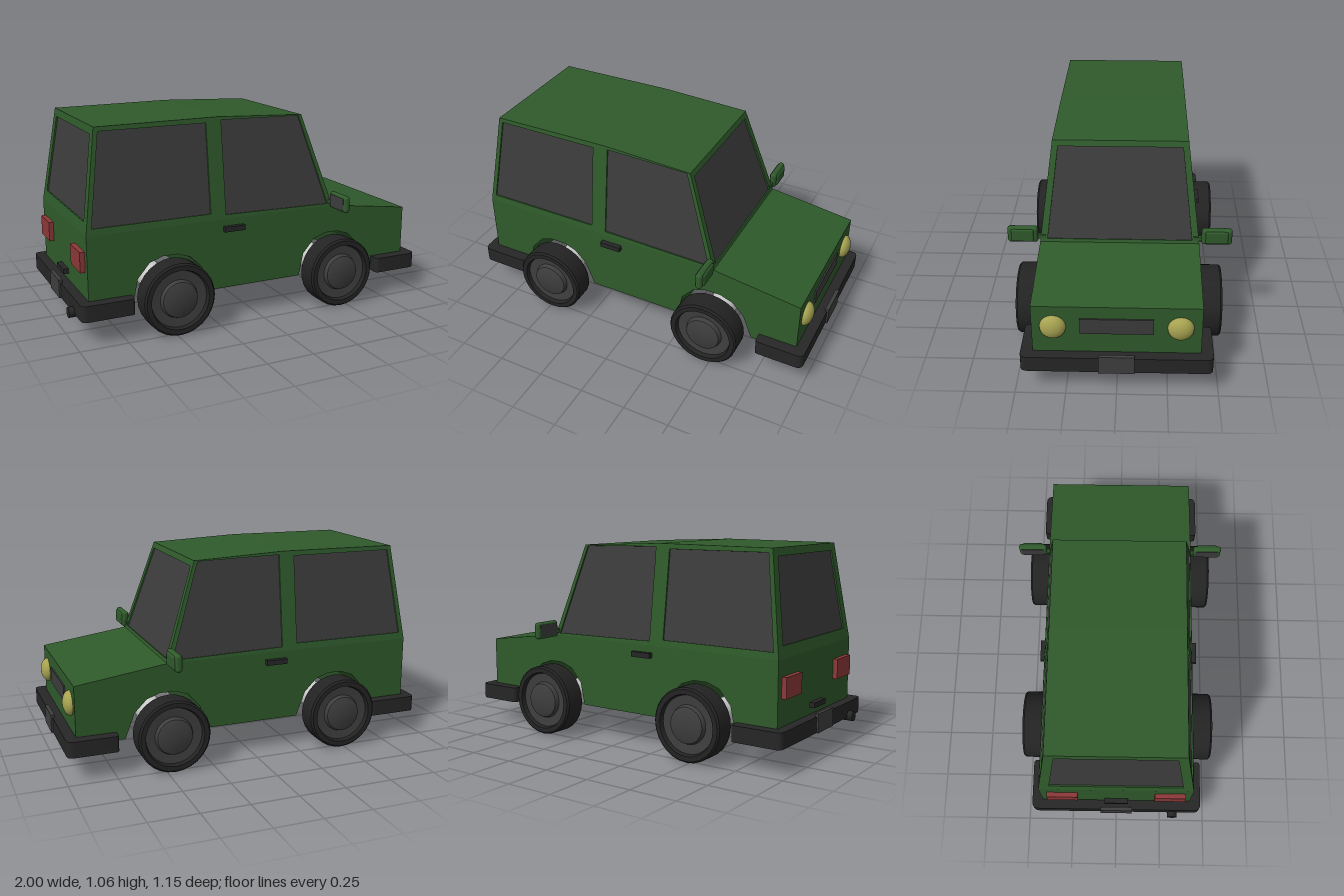
import * as THREE from 'three';
import { RoundedBoxGeometry } from 'three/addons/geometries/RoundedBoxGeometry.js';
import { toCreasedNormals } from 'three/addons/utils/BufferGeometryUtils.js';

const mat = (color) => new THREE.MeshStandardMaterial({ color });
const GREEN = mat(0x2f5a2b), GLASS = mat(0x3c3c3c), DARK = mat(0x262626), TYRE = mat(0x232323),
  RIM = mat(0x3e3e3e), LAMP = mat(0xa8a452), RED = mat(0x8c3838), GREY = mat(0xcccccc);
const V = (x, y, z) => new THREE.Vector3(x, y, z);

function add(parent, name, geometry, material, x = 0, y = 0, z = 0) {
  const mesh = new THREE.Mesh(geometry, material);
  mesh.name = name;
  mesh.position.set(x, y, z);
  parent.add(mesh);
  return mesh;
}
const box = (parent, name, w, h, d, material, x, y, z) =>
  add(parent, name, new THREE.BoxGeometry(w, h, d), material, x, y, z);

// Flat quads, each turned to face its outward direction
function quadGeometry(quads) {
  const pos = [];
  for (const [[a, b, c, d], out] of quads) {
    const n = c.clone().sub(a).cross(d.clone().sub(b));
    const order = n.dot(out) > 0 ? [a, b, c, a, c, d] : [a, c, b, a, d, c];
    order.forEach((p) => pos.push(p.x, p.y, p.z));
  }
  const g = new THREE.BufferGeometry();
  g.setAttribute('position', new THREE.Float32BufferAttribute(pos, 3));
  g.computeVertexNormals();
  return g;
}

// Green frame with a recessed pane; outer and inner hold four matching corners
function windowPanel(parent, name, outer, inner, out) {
  const pane = inner.map((p) => p.clone().addScaledVector(out, -0.008));
  const centre = inner.reduce((s, p) => s.add(p), V(0, 0, 0)).divideScalar(4);
  const quads = [];
  for (let i = 0; i < 4; i++) {
    const j = (i + 1) % 4;
    const mid = inner[i].clone().add(inner[j]).multiplyScalar(0.5);
    quads.push([[outer[i], outer[j], inner[j], inner[i]], out]);
    quads.push([[inner[i], inner[j], pane[j], pane[i]], centre.clone().sub(mid)]);
  }
  add(parent, name + 'Frame', quadGeometry(quads), GREEN);
  add(parent, name, quadGeometry([[pane, out]]), GLASS);
}

function buildLowerBody(car) {
  const arch = (cx) => [[-0.2, 0.17], [-0.175, 0.29], [-0.11, 0.365], [-0.04, 0.39],
    [0.04, 0.39], [0.11, 0.365], [0.175, 0.3], [0.225, 0.17]].map(([x, y]) => new THREE.Vector2(cx + x, y));
  const P = (x, y) => new THREE.Vector2(x, y);
  const shape = new THREE.Shape([P(-0.92, 0.17), ...arch(-0.49), ...arch(0.46),
    P(0.935, 0.17), P(0.935, 0.475), P(0.46, 0.54), P(-0.92, 0.54)]);
  const g = new THREE.ExtrudeGeometry(shape, { depth: 0.82, bevelEnabled: false });
  add(car, 'lowerBody', g.translate(0, 0, -0.41), GREEN);
}

function buildCabin(car) {
  const halfWidth = (y) => 0.41 - 0.065 * (y - 0.54) / 0.515;
  const side = (s) => ([x, y]) => V(x, y, s * halfWidth(y));
  const roofLine = [[-0.845, 1.055], [-0.2, 1.06], [0.29, 1.04]];
  for (const s of [1, -1]) {
    const out = V(0, 0.125, s).normalize();
    const label = s > 0 ? 'right' : 'left';
    windowPanel(car, label + 'RearWindow',
      [[-0.92, 0.54], [-0.22, 0.54], roofLine[1], roofLine[0]].map(side(s)),
      [[-0.89, 0.575], [-0.262, 0.575], [-0.262, 1.033], [-0.825, 1.033]].map(side(s)), out);
    windowPanel(car, label + 'FrontWindow',
      [[-0.22, 0.54], [0.46, 0.54], roofLine[2], roofLine[1]].map(side(s)),
      [[-0.178, 0.563], [0.43, 0.553], [0.272, 1.035], [-0.178, 1.043]].map(side(s)), out);
  }
  // Windscreen and tailgate glass lie across the car
  const across = (x0, x1, top) => ([z, y]) => V(x0 + (x1 - x0) * (y - 0.54) / (top - 0.54), y, z);
  const ends = [
    ['windscreen', 0.46, 0.29, 1.04, [0.372, 0.556, 0.318, 1.01], V(0.947, 0.322, 0)],
    ['tailgateWindow', -0.92, -0.845, 1.055, [0.35, 0.6, 0.3, 1.015], V(-0.99, 0.143, 0)]];
  for (const [name, x0, x1, top, [zb, yb, zt, yt], out] of ends) {
    const h = halfWidth(top);
    windowPanel(car, name,
      [[-0.41, 0.54], [0.41, 0.54], [h, top], [-h, top]].map(across(x0, x1, top)),
      [[-zb, yb], [zb, yb], [zt, yt], [-zt, yt]].map(across(x0, x1, top)), out);
  }
  const [r, l] = [1, -1].map((s) => roofLine.map(side(s)));
  add(car, 'roof', quadGeometry([0, 1].map((i) => [[r[i], r[i + 1], l[i + 1], l[i]], V(0, 1, 0)])), GREEN);
}

// U-shaped bumper wrapping around one end; dir is +1 at the front
function buildBumper(car, name, dir, inner, tip, end) {
  const s = new THREE.Shape();
  const c = 0.035;
  s.moveTo(inner, -0.41);
  s.lineTo(end, -0.41);
  s.lineTo(end, -0.47 + 0.02);
  s.quadraticCurveTo(end, -0.47, end + 0.02, -0.47);
  s.lineTo(tip - c, -0.47);
  s.quadraticCurveTo(tip, -0.47, tip, -0.47 + c);
  s.lineTo(tip, 0.47 - c);
  s.quadraticCurveTo(tip, 0.47, tip - c, 0.47);
  s.lineTo(end + 0.02, 0.47);
  s.quadraticCurveTo(end, 0.47, end, 0.45);
  s.lineTo(end, 0.41);
  s.lineTo(inner, 0.41);
  s.closePath();
  const g = new THREE.ExtrudeGeometry(s, { depth: 0.083, bevelEnabled: false, curveSegments: 5 });
  g.rotateX(-Math.PI / 2);
  if (dir < 0) g.rotateY(Math.PI);
  add(car, name, toCreasedNormals(g, 0.6), DARK, 0, 0.13, 0);
}

function lathe(points, segments) {
  const g = new THREE.LatheGeometry(points.map(([r, z]) => new THREE.Vector2(r, z)), segments);
  return toCreasedNormals(g.rotateX(Math.PI / 2), 0.6);
}

function buildAxles(car) {
  const tyre = lathe([[0, 0], [0.18, 0], [0.189, 0.008], [0.189, 0.112], [0.18, 0.122],
    [0.155, 0.122], [0.148, 0.1]], 28);
  const rim = lathe([[0.15, 0.1], [0.1, 0.096], [0.092, 0.118], [0.082, 0.123], [0, 0.123]], 28);
  for (const [label, x] of [['rear', -0.485], ['front', 0.46]]) {
    const axle = new THREE.CylinderGeometry(0.075, 0.075, 0.84, 24).rotateX(Math.PI / 2);
    add(car, label + 'Axle', axle, GREY, x, 0.188, 0);
    for (const s of [1, -1]) {
      const wheel = new THREE.Group();
      wheel.name = label + (s > 0 ? 'Right' : 'Left') + 'Wheel';
      add(wheel, 'tyre', tyre, TYRE);
      add(wheel, 'rim', rim, RIM);
      wheel.position.set(x, 0.19, s * 0.41);
      if (s < 0) wheel.rotation.y = Math.PI;
      car.add(wheel);
    }
  }
  // Lathe surfaces are seen from both sides where the rim meets the tyre
  TYRE.side = RIM.side = THREE.DoubleSide;
}

function buildFittings(car) {
  for (const s of [1, -1]) {
    const lamp = add(car, 'headlight', new THREE.SphereGeometry(0.064, 24, 16), LAMP, 0.935, 0.36, s * 0.307);
    lamp.scale.x = 0.62;
    box(car, 'tailLight', 0.03, 0.105, 0.165, RED, -0.93, 0.403, s * 0.29);
    box(car, 'doorHandle', 0.115, 0.027, 0.035, DARK, -0.138, 0.49, s * 0.418);
    // Door mirrors
    add(car, 'mirrorHousing', new RoundedBoxGeometry(0.036, 0.09, 0.157, 3, 0.016), GREEN, 0.449, 0.58, s * 0.499);
    add(car, 'mirrorCap', new RoundedBoxGeometry(0.02, 0.07, 0.115, 3, 0.009), GREEN, 0.465, 0.58, s * 0.499);
    box(car, 'mirrorGlass', 0.004, 0.066, 0.125, GLASS, 0.431, 0.58, s * 0.499);
    box(car, 'mirrorArm', 0.02, 0.02, 0.05, GREEN, 0.445, 0.565, s * 0.405);
  }
  box(car, 'grille', 0.015, 0.085, 0.355, GLASS, 0.935, 0.367, 0);
  box(car, 'frontPlate', 0.02, 0.098, 0.176, RIM, 0.989, 0.179, 0);
  box(car, 'rearPlate', 0.02, 0.098, 0.176, RIM, -0.971, 0.179, 0);
  box(car, 'tailgateHandle', 0.03, 0.027, 0.13, DARK, -0.932, 0.262, 0);
  // Exhaust pipe with a wider tip
  const path = new THREE.CatmullRomCurve3([V(-0.7, 0.17, 0.24), V(-0.79, 0.135, 0.28),
    V(-0.86, 0.13, 0.313), V(-0.97, 0.136, 0.315)]);
  add(car, 'exhaustPipe', new THREE.TubeGeometry(path, 16, 0.017, 10), DARK);
  const tip = new THREE.CylinderGeometry(0.027, 0.027, 0.07, 16).rotateZ(Math.PI / 2);
  add(car, 'exhaustTip', tip, DARK, -0.965, 0.137, 0.315);
}

export function createModel() {
  const car = new THREE.Group();
  car.name = 'car';
  buildLowerBody(car);
  buildCabin(car);
  buildBumper(car, 'frontBumper', 1, 0.925, 0.99, 0.73);
  buildBumper(car, 'rearBumper', -1, 0.91, 0.972, 0.7);
  buildAxles(car);
  buildFittings(car);
  return car;
}
